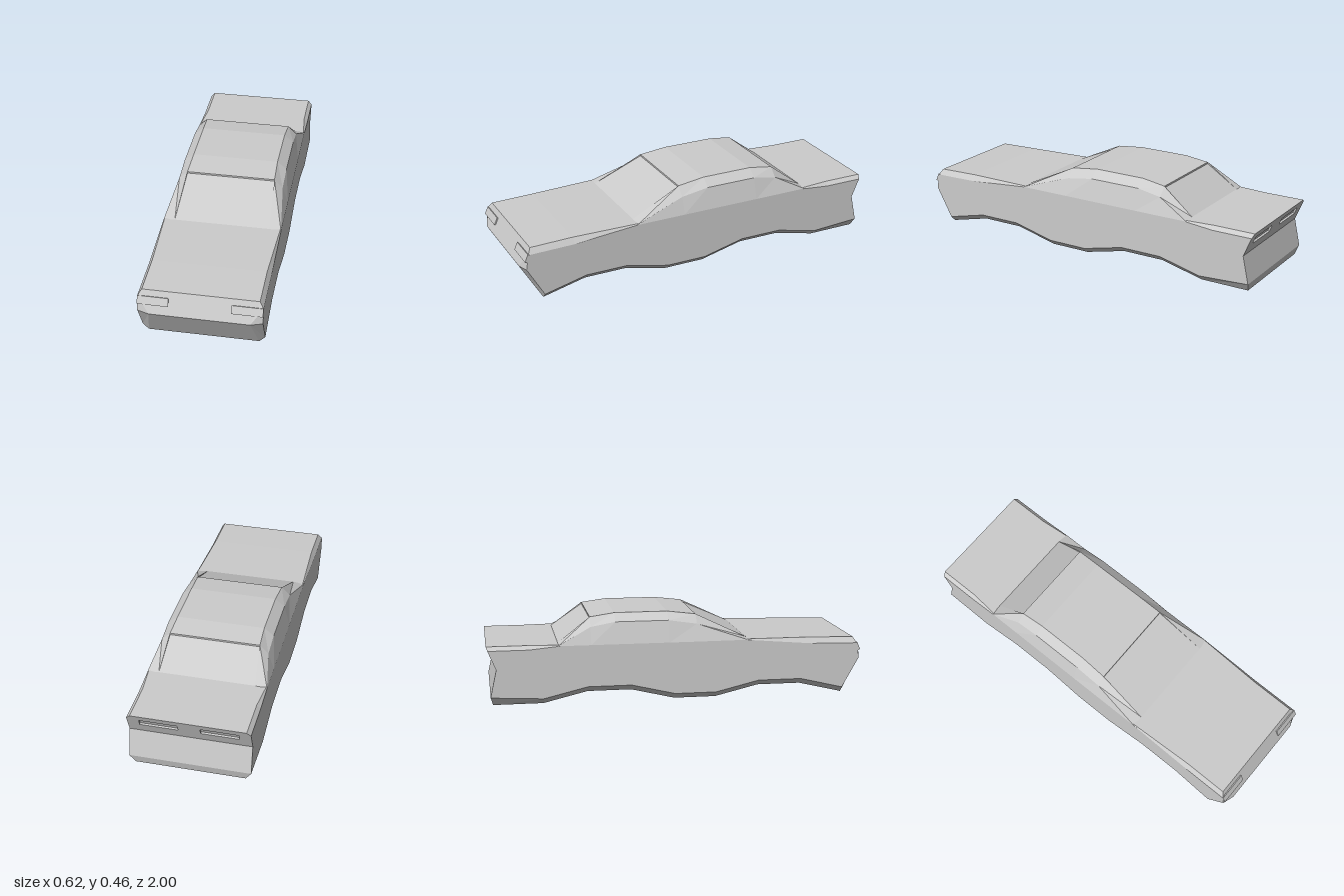
import * as THREE from 'three';

const material = new THREE.MeshStandardMaterial({ color: 0xcccccc, flatShading: true });

function addMesh(parent, name, geometry) {
  const mesh = new THREE.Mesh(geometry, material);
  mesh.name = name;
  parent.add(mesh);
  return mesh;
}

const mirror = ([x, y, z]) => [-x, y, z];
// Half section (left side, bottom to top) completed over to the right side
const fullRing = half => [...half, ...half.map(mirror).reverse()];

// Collects flat polygons as triangle fans, dropping zero-area ones
function surface() {
  const positions = [];
  const add = (...points) => {
    const v = points.map(p => new THREE.Vector3(...p));
    for (let i = 1; i < v.length - 1; i++) {
      const tri = new THREE.Triangle(v[0], v[i], v[i + 1]);
      if (tri.getArea() > 1e-8) positions.push(...points[0], ...points[i], ...points[i + 1]);
    }
  };
  // Skin between rings listed from front to back
  const loft = (rings, closed) => {
    for (let r = 0; r < rings.length - 1; r++) {
      const a = rings[r], b = rings[r + 1], n = a.length;
      for (let i = 0; i < (closed ? n : n - 1); i++) {
        const j = (i + 1) % n;
        add(a[i], b[i], b[j], a[j]);
      }
    }
  };
  const build = () => {
    const g = new THREE.BufferGeometry();
    g.setAttribute('position', new THREE.Float32BufferAttribute(positions, 3));
    g.computeVertexNormals();
    return g;
  };
  return { add, loft, build };
}

// Lower body: wavy underside, flat flanks, chamfered sills and shoulders
function bodyGeometry() {
  const s = surface();
  // [bottom z, bottom y, top z, top y, top half width, shoulder y]
  const stations = [
    [0.89, 0, 0.95, 0.3, 0.29, 0.27],
    [0.66, 0.055, 0.72, 0.306, 0.29, 0.275],
    [0.43, 0.055, 0.37, 0.31, 0.305, 0.305],
    [0.2, 0, 0.2, 0.31, 0.305, 0.305],
    [-0.02, 0, -0.02, 0.31, 0.305, 0.305],
    [-0.25, 0.055, -0.25, 0.31, 0.305, 0.305],
    [-0.48, 0.055, -0.62, 0.31, 0.305, 0.305],
    [-0.71, 0, -0.78, 0.31, 0.29, 0.29],
    [-0.97, 0, -1, 0.31, 0.29, 0.29],
  ];
  const halves = stations.map(([zb, yb, zt, yt, xt, ys]) => [
    [0.28, yb, zb], [0.31, yb + 0.03, zb], [0.31, 0.19, (zb + zt) / 2],
    [0.31, ys, zt], [xt, yt, zt],
  ]);
  const front = halves[0], rear = halves[halves.length - 1];
  front[2][2] = 0.98;
  front[3][2] = 0.967;
  rear[1] = [0.31, 0.045, -0.982];
  rear[2][2] = -0.95;
  rear[3][2] = -0.992;
  s.loft(halves.map(fullRing), true);

  // Pointed nose with faceted corners
  const tip = [0.25, 0.19, 1], tipR = mirror(tip);
  s.add(mirror(front[0]), front[0], tip, tipR);
  s.add(tipR, tip, front[4], mirror(front[4]));
  for (let k = 0; k < 4; k++) {
    s.add(tip, front[k], front[k + 1]);
    s.add(tipR, mirror(front[k + 1]), mirror(front[k]));
  }
  // Tail below the light panel
  for (let k = 0; k < 2; k++) {
    s.add(rear[k], mirror(rear[k]), mirror(rear[k + 1]), rear[k + 1]);
  }
  return s.build();
}

// Cabin: sloping sides, roof and slightly sunken front and rear glass
function cabinGeometry() {
  const s = surface();
  // [z, shoulder half width, shoulder y, roof half width, roof y, glass drop]
  const sections = [
    [0.37, 0.31, 0.306, 0.25, 0.312, 0],
    [0.1, 0.28, 0.395, 0.235, 0.44, 0.009],
    [0.1, 0.28, 0.395, 0.235, 0.44, 0],
    [-0.05, 0.28, 0.418, 0.23, 0.458, 0],
    [-0.33, 0.28, 0.418, 0.23, 0.458, 0],
    [-0.46, 0.28, 0.395, 0.235, 0.44, 0],
    [-0.46, 0.28, 0.395, 0.235, 0.44, 0.009],
    [-0.63, 0.31, 0.306, 0.25, 0.312, 0],
  ];
  s.loft(sections.map(([z, xs, ys, xr, yr, drop]) => fullRing([
    [0.31, 0.305, z], [xs, ys, z], [xr, yr, z], [xr, yr - drop, z],
  ])), false);
  return s.build();
}

function rectangle(Type, x0, y0, x1, y1) {
  return new Type([[x0, y0], [x1, y0], [x1, y1], [x0, y1]].map(p => new THREE.Vector2(...p)));
}

// Slanted tail panel with two recessed lights
function tailPanel() {
  const group = new THREE.Group();
  group.name = 'tailPanel';
  group.position.set(0, 0.19, -0.95);
  group.rotation.set(-0.395, Math.PI, 0);
  const outline = new THREE.Shape([
    [-0.31, 0], [0.31, 0], [0.31, 0.108], [0.29, 0.13], [-0.29, 0.13], [-0.31, 0.108],
  ].map(p => new THREE.Vector2(...p)));
  for (const side of [-1, 1]) {
    const cx = side * 0.153, x0 = cx - 0.097, x1 = cx + 0.097;
    outline.holes.push(rectangle(THREE.Path, x0, 0.055, x1, 0.095));
    const frame = rectangle(THREE.Shape, x0 - 0.01, 0.045, x1 + 0.01, 0.105);
    frame.holes.push(rectangle(THREE.Path, x0, 0.055, x1, 0.095));
    addMesh(group, 'tailLightFrame',
      new THREE.ExtrudeGeometry(frame, { depth: 0.011, bevelEnabled: false })).position.z = -0.012;
    addMesh(group, 'tailLight', new THREE.PlaneGeometry(0.194, 0.04)).position.set(cx, 0.075, -0.011);
  }
  addMesh(group, 'tailPanelFace', new THREE.ShapeGeometry(outline));
  return group;
}

export function createModel() {
  const car = new THREE.Group();
  car.name = 'car';
  addMesh(car, 'body', bodyGeometry());
  addMesh(car, 'cabin', cabinGeometry());
  car.add(tailPanel());
  // Headlights set into the nose corners
  for (const side of [-1, 1]) {
    const light = addMesh(car, 'headlight', new THREE.BoxGeometry(0.155, 0.042, 0.02));
    light.position.set(side * 0.2325, 0.25, 0.969);
    light.rotation.x = -0.42;
  }
  return car;
}
